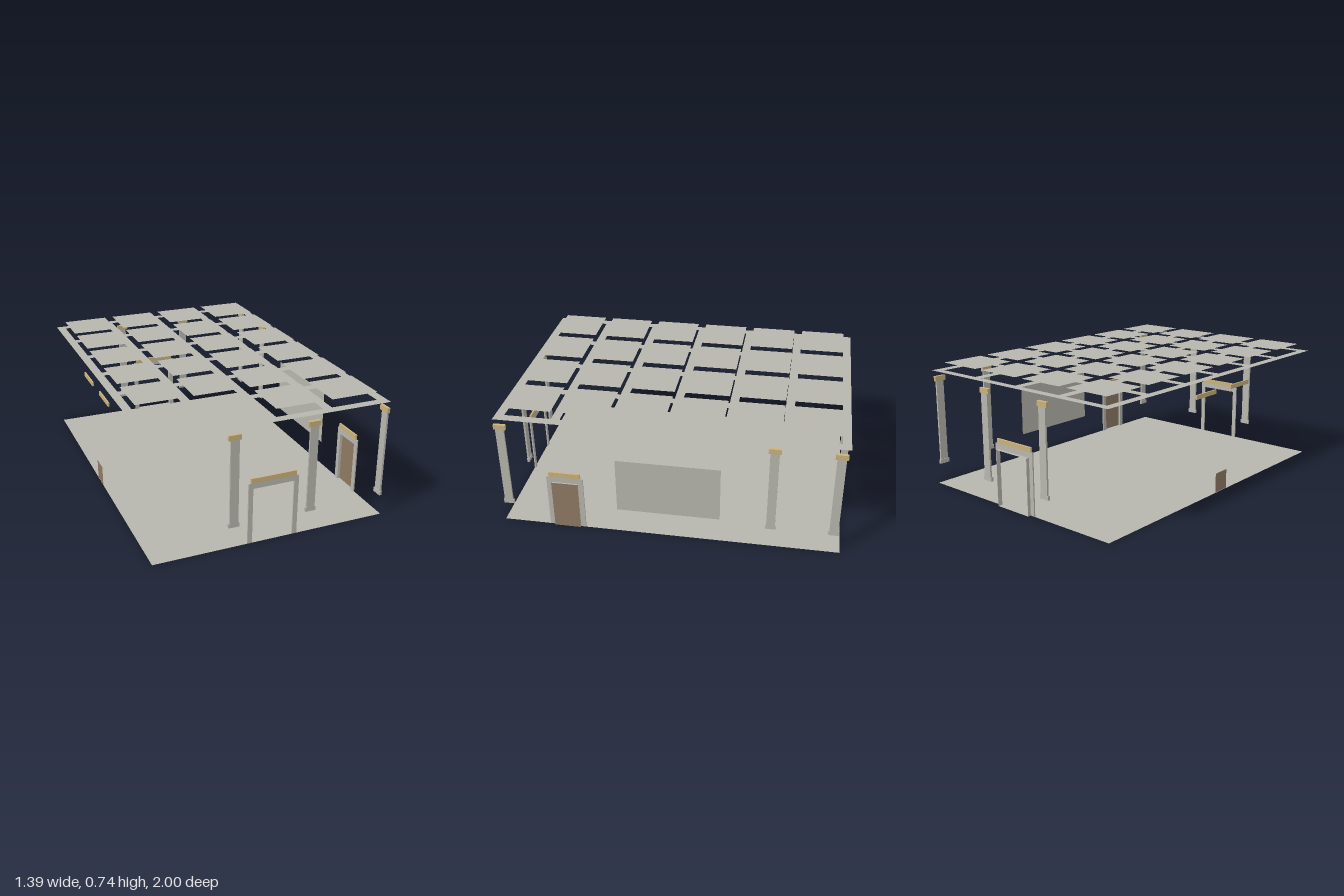
import * as THREE from 'three';

const mat = (name, color) => {
  const m = new THREE.MeshStandardMaterial({ color, side: THREE.DoubleSide });
  m.name = name;
  return m;
};

export function createModel() {
  const model = new THREE.Group();
  model.name = 'hall';
  const stone = mat('stone grey', 0xb7b6ae);
  const trim = mat('pale gold trim', 0xc9b27c);
  const wood = mat('brown wood', 0x8f7a63);

  const add = (parent, name, geometry, material, x = 0, y = 0, z = 0) => {
    const mesh = new THREE.Mesh(geometry, material);
    mesh.name = name;
    mesh.position.set(x, y, z);
    parent.add(mesh);
    return mesh;
  };
  // Box given by its base height and standing out from the wall plane
  const wallBox = (parent, name, material, x, y0, y1, w, d) =>
    add(parent, name, new THREE.BoxGeometry(w, y1 - y0, d), material, x, (y0 + y1) / 2, d / 2);

  const flat = (w, d) => new THREE.PlaneGeometry(w, d).rotateX(-Math.PI / 2);

  // Wall frames: local x runs along the wall, local z points into the room
  const wall = (name, x, z, turn) => {
    const g = new THREE.Group();
    g.name = name;
    g.position.set(x, 0, z);
    g.rotation.y = turn;
    model.add(g);
    return g;
  };

  const pilaster = (parent, x) => {
    const g = new THREE.Group();
    g.name = 'pilaster';
    g.position.x = x;
    parent.add(g);
    wallBox(g, 'pilasterBase', stone, 0, 0.12, 0.145, 0.062, 0.015);
    wallBox(g, 'pilasterShaft', stone, 0, 0.145, 0.63, 0.05, 0.011);
    wallBox(g, 'pilasterCap', trim, 0, 0.63, 0.66, 0.07, 0.018);
  };

  // U-shaped door surround with a gold lintel above
  const surround = (parent, x, outer, inner, innerTop, top, lintel, lintelTop) => {
    const s = new THREE.Shape([
      [-outer, 0], [-inner, 0], [-inner, innerTop], [inner, innerTop],
      [inner, 0], [outer, 0], [outer, top], [-outer, top],
    ].map(p => new THREE.Vector2(...p)));
    add(parent, 'doorSurround', new THREE.ExtrudeGeometry(s, { depth: 0.008, bevelEnabled: false }), stone, x);
    wallBox(parent, 'doorLintel', trim, x, top, lintelTop, lintel * 2, 0.011);
  };

  // Open passage lining going outward through the wall
  const reveal = (parent, x, half, top, depth) => {
    for (const s of [-1, 1]) {
      add(parent, 'doorJamb', new THREE.PlaneGeometry(depth, top).rotateY(Math.PI / 2), stone, x + s * half, top / 2, -depth / 2);
    }
    add(parent, 'doorHead', flat(half * 2, depth), stone, x, top, -depth / 2);
    add(parent, 'doorSill', flat(half * 2, depth), stone, x, 0, -depth / 2);
  };

  // Floor
  const X0 = -0.698, X1 = 0.683, Z0 = -0.98, Z1 = 1.0;
  const cx = (X0 + X1) / 2, cz = (Z0 + Z1) / 2;
  add(model, 'floor', flat(X1 - X0, Z1 - Z0), stone, cx, 0, cz);

  // Ceiling grid with raised coffer panels
  const rect = (x0, x1, z0, z1, Type) => new Type([
    new THREE.Vector2(x0, -z0), new THREE.Vector2(x1, -z0),
    new THREE.Vector2(x1, -z1), new THREE.Vector2(x0, -z1),
  ]);
  const grid = rect(X0, X1, Z0, Z1, THREE.Shape);
  const panelW = 0.279, panelD = 0.271;
  for (let i = 0; i < 4; i++) {
    for (let j = 0; j < 6; j++) {
      const x = -0.508 + i * 0.332, z = -0.796 + j * 0.3215;
      grid.holes.push(rect(x - panelW / 2, x + panelW / 2, z - panelD / 2, z + panelD / 2, THREE.Path));
      add(model, 'cofferPanel', flat(panelW, panelD), stone, x, 0.743, z);
    }
  }
  add(model, 'ceilingGrid', new THREE.ShapeGeometry(grid).rotateX(-Math.PI / 2), stone, 0, 0.697, 0);

  // Front and back ends: a gateway between two pilasters
  const ends = [wall('frontEnd', cx, Z1, Math.PI), wall('backEnd', cx, Z0, 0)];
  for (const end of ends) {
    for (const s of [-1, 1]) pilaster(end, s * 0.229);
    surround(end, 0, 0.148, 0.121, 0.33, 0.362, 0.134, 0.39);
  }
  reveal(ends[1], 0, 0.121, 0.33, 0.02);

  // Left side: pilasters, wall panel and a wooden door
  const left = wall('leftSide', X1, 0, -Math.PI / 2);
  for (const z of [0.965, -0.58, -0.935]) pilaster(left, z);
  add(left, 'wallPanel', new THREE.PlaneGeometry(0.6, 0.34), stone, 0.01, 0.32, 0.003);
  surround(left, 0.612, 0.108, 0.078, 0.305, 0.34, 0.093, 0.37);
  reveal(left, 0.612, 0.078, 0.305, 0.009);
  add(left, 'door', new THREE.PlaneGeometry(0.156, 0.305), wood, 0.612, 0.1525, -0.009);

  // Right side: small hatch and two high ledges
  const right = wall('rightSide', X0, 0, Math.PI / 2);
  add(right, 'hatch', new THREE.PlaneGeometry(0.11, 0.118), wood, -0.015, 0.06, 0.001);
  for (const z of [0.183, -0.153]) wallBox(right, 'ledge', trim, -z, 0.602, 0.627, 0.188, 0.009);

  return model;
}
